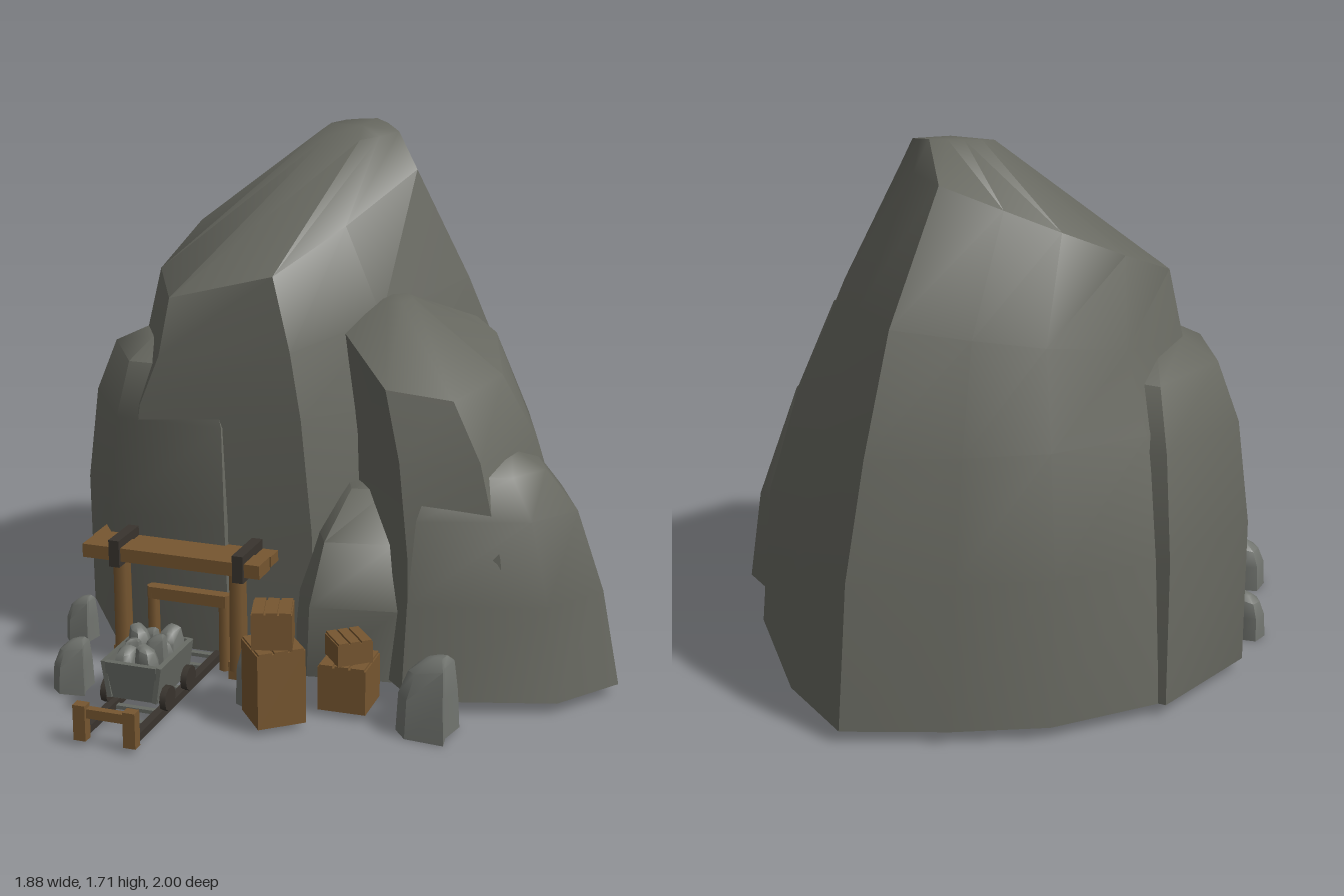
import * as THREE from 'three';
import { toCreasedNormals } from 'three/addons/utils/BufferGeometryUtils.js';

const material = (name, color) => {
  const m = new THREE.MeshStandardMaterial({ color });
  m.name = name;
  return m;
};

// Loft through levels [y, xMin, xMax, zMin, zMax, tiltX, tiltZ];
// the outline is given in -1..1, clockwise from above.
function loft(outline, levels, crease = 0.75) {
  const n = outline.length, pos = [], index = [];
  const centre = ([y, x0, x1, z0, z1], dy = 0) => pos.push((x0 + x1) / 2, y + dy, (z0 + z1) / 2);
  for (const [y, x0, x1, z0, z1, tx = 0, tz = 0] of levels) {
    for (const [u, v] of outline) {
      pos.push((x0 + x1) / 2 + u * (x1 - x0) / 2, y + u * tx + v * tz, (z0 + z1) / 2 + v * (z1 - z0) / 2);
    }
  }
  const bottom = n * levels.length, top = bottom + 1, last = n * (levels.length - 1);
  centre(levels[0]);
  centre(levels[levels.length - 1], 0.01);
  for (let i = 0; i < n; i++) {
    const j = (i + 1) % n;
    for (let k = 0; k < last; k += n) {
      index.push(k + i, k + n + i, k + j, k + j, k + n + i, k + n + j);
    }
    index.push(bottom, i, j, top, last + j, last + i);
  }
  const g = new THREE.BufferGeometry();
  g.setAttribute('position', new THREE.Float32BufferAttribute(pos, 3));
  g.setIndex(index);
  return toCreasedNormals(g, crease);
}

export function createModel() {
  const model = new THREE.Group();
  model.name = 'mountainMine';
  const rock = material('mountainRock', 0x66675f);
  const stone = material('looseStone', 0x70736e);
  const wood = material('wood', 0x765630);
  const dark = material('darkIron', 0x39342e);
  const metal = material('cartMetal', 0x656862);

  const add = (name, geometry, mat, x = 0, y = 0, z = 0, ry = 0, parent = model) => {
    const m = new THREE.Mesh(geometry, mat);
    m.name = name;
    m.position.set(x, y, z);
    m.rotation.y = ry;
    parent.add(m);
    return m;
  };
  const box = (name, mat, w, h, d, x, y, z, ry = 0, parent = model) =>
    add(name, new THREE.BoxGeometry(w, h, d), mat, x, y, z, ry, parent);
  const post = (name, r, h, x, y, z) => add(name, new THREE.CylinderGeometry(r * 0.92, r, h, 8), wood, x, y, z);

  // Mountain masses
  add('mainPeak', loft(
    [[-1, 0.54], [-0.92, -0.08], [-0.61, -0.52], [-0.26, -0.77], [0.15, -1], [0.53, -0.74],
      [1, -0.18], [0.62, 0.46], [0.2, 0.98], [-0.7, 1]],
    [[0.04, -0.88, 0.56, -1, 0.3], [0.5, -0.86, 0.54, -0.95, 0.32], [0.87, -0.78, 0.43, -0.88, 0.32],
      [1.15, -0.68, 0.3, -0.78, 0.31, 0.05, -0.08], [1.45, -0.62, 0.15, -0.59, 0.28, 0.1, -0.16],
      [1.69, -0.18, 0.06, -0.4, -0.2, -0.01, -0.02]]), rock);
  add('leftShoulder', loft(
    [[-1, 0.15], [-0.75, -1], [0.5, -1], [1, 0], [0.7, 1], [-0.4, 1]],
    [[0.04, -0.94, -0.2, -0.4, 0.3], [0.5, -0.93, -0.2, -0.38, 0.33], [0.82, -0.88, -0.22, -0.33, 0.32],
      [1.0, -0.8, -0.3, -0.25, 0.28], [1.06, -0.68, -0.45, -0.08, 0.17]], 1), rock);
  add('rightPeak', loft(
    [[-1, 0.12], [-0.4, -0.7], [0.34, -1], [0.66, -0.8], [1, 0], [0.66, 0.8], [-0.1, 1]],
    [[0.05, -0.02, 0.78, -0.39, 0.43], [0.5, 0.01, 0.73, -0.37, 0.42], [0.8, 0.02, 0.64, -0.32, 0.4],
      [1.07, 0.01, 0.53, -0.23, 0.37, -0.06, -0.06], [1.2, 0.08, 0.2, -0.1, 0.02]]), rock);
  add('rightBoulder', loft(
    [[-1, 0], [-0.3, -1], [0.57, -0.54], [1, 0.17], [0.57, 0.66], [-0.77, 1]],
    [[0.04, 0.25, 0.94, -0.38, 0.46], [0.35, 0.27, 0.88, -0.36, 0.44], [0.62, 0.3, 0.8, -0.22, 0.41],
      [0.75, 0.35, 0.7, -0.1, 0.36], [0.8, 0.46, 0.58, 0.05, 0.2]], 1), rock);
  add('frontBulge', loft(
    [[-1, 0.1], [-0.5, -1], [0.6, -1], [1, 0], [0.6, 0.8], [-0.45, 1]],
    [[0.04, -0.17, 0.4, -0.1, 0.38], [0.3, -0.13, 0.4, -0.1, 0.43], [0.5, -0.07, 0.35, -0.1, 0.37],
      [0.64, 0.03, 0.25, -0.05, 0.24]], 1), rock);

  // Loose stones on the ground
  const stoneShape = loft(
    [[-1, 0.3], [-0.8, -0.8], [0.2, -1], [1, -0.6], [0.8, 0.4], [0.9, 1], [-0.5, 0.9]],
    [[0, -0.5, 0.5, -0.5, 0.5], [0.5, -0.46, 0.47, -0.47, 0.46], [0.85, -0.3, 0.42, -0.36, 0.33, 0.06, 0],
      [0.96, -0.05, 0.32, -0.2, 0.12, 0.03, 0]]);
  [[-0.87, 0.25, 0.1, 0.155, 0.1, 0], [-0.72, 0.62, 0.12, 0.17, 0.13, 0.2], [-0.13, 0.53, 0.12, 0.25, 0.11, 0.3],
    [0.44, 0.55, 0.18, 0.25, 0.18, 0]].forEach(([x, z, w, h, d, ry]) =>
    add('looseStone', stoneShape, stone, x, 0, z, ry).scale.set(w, h, d));

  // Entrance: outer and inner timber frames with a plank roof
  for (const x of [-0.65, -0.245]) {
    post('entrancePost', 0.032, 0.36, x, 0.21, 0.38);
    box('postFoot', wood, 0.06, 0.06, 0.08, x, 0.03, 0.36);
  }
  box('roofPlankBack', wood, 0.62, 0.035, 0.11, -0.445, 0.41, 0.315);
  box('roofPlankFront', wood, 0.61, 0.045, 0.09, -0.44, 0.41, 0.425);
  for (const x of [-0.63, -0.205]) box('roofStrap', dark, 0.036, 0.09, 0.18, x, 0.415, 0.39);
  for (const x of [-0.555, -0.305]) post('innerPost', 0.022, 0.26, x, 0.14, 0.35);
  box('innerBeam', wood, 0.27, 0.04, 0.04, -0.43, 0.25, 0.35);

  // Track with sleepers and buffer
  for (const x of [-0.512, -0.348]) {
    box('rail', dark, 0.026, 0.025, 0.98, x, 0.035, 0.5);
    box('bufferPost', wood, 0.04, 0.115, 0.035, x, 0.075, 0.98);
  }
  for (let i = 0; i < 10; i++) box('sleeper', metal, 0.16, 0.012, 0.02, -0.43, 0.03, 0.04 + i * 0.09);
  box('bufferBeam', wood, 0.17, 0.03, 0.025, -0.43, 0.105, 0.975);

  // Ore cart
  const cart = new THREE.Group();
  cart.name = 'oreCart';
  cart.position.set(-0.43, 0, 0.675);
  model.add(cart);
  box('cartFloor', metal, 0.15, 0.02, 0.22, 0, 0.08, 0, 0, cart);
  for (const s of [-1, 1]) {
    box('cartSide', metal, 0.016, 0.12, 0.25, s * 0.084, 0.135, 0, 0, cart).rotation.z = -s * 0.15;
    box('cartEnd', metal, 0.17, 0.12, 0.016, 0, 0.135, s * 0.115, 0, cart).rotation.x = s * 0.1;
    for (const z of [-0.08, 0.08]) {
      const wheel = add('cartWheel', new THREE.CylinderGeometry(0.04, 0.04, 0.02, 10), dark, s * 0.1, 0.08, z, 0, cart);
      wheel.rotation.z = Math.PI / 2;
    }
  }
  for (let i = 0; i < 8; i++) {
    const ore = add('ore', stoneShape, stone, (i % 2 - 0.5) * 0.075, 0.13 + (i % 3) * 0.015,
      -0.085 + Math.floor(i / 2) * 0.055, i * 1.3, cart);
    ore.scale.set(0.075, 0.1, 0.07);
  }

  // Stacked crates with lid battens
  const crate = (x, y, z, w, h, ry) => {
    const g = new THREE.Group();
    g.name = 'crate';
    g.position.set(x, y, z);
    g.rotation.y = ry;
    model.add(g);
    box('crateBody', wood, w, h, w, 0, h / 2, 0, 0, g);
    for (const s of [-1, 0, 1]) box('crateBatten', wood, w * 0.28, 0.008, w, s * w * 0.33, h + 0.003, 0, 0, g);
  };
  crate(-0.02, 0.02, 0.65, 0.155, 0.24, 0.7);
  crate(-0.02, 0.265, 0.65, 0.125, 0.115, 0.3);
  crate(0.165, 0.02, 0.48, 0.155, 0.145, 0.03);
  crate(0.165, 0.17, 0.48, 0.115, 0.07, 0.7);

  return model;
}
